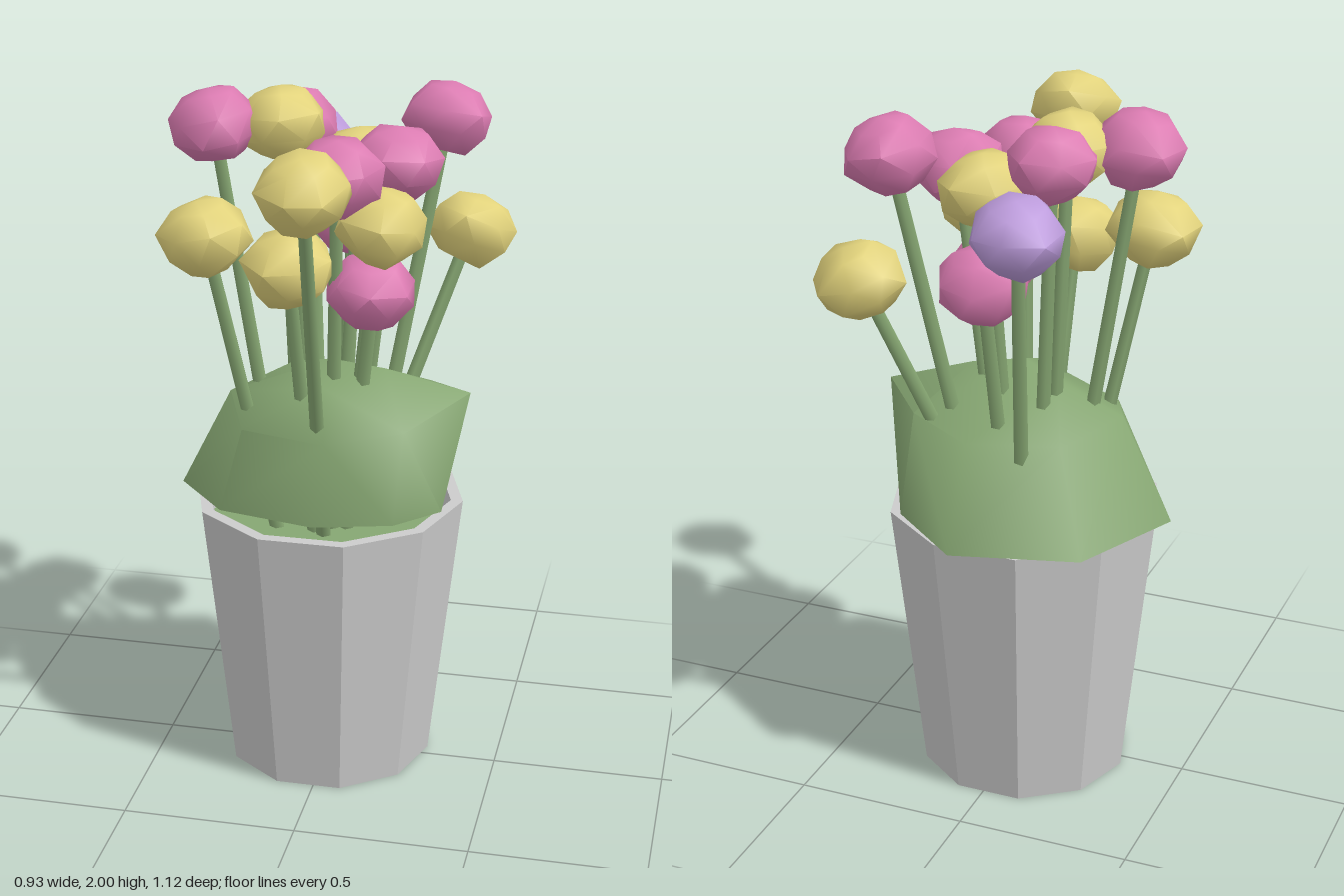
import * as THREE from 'three';
import { toCreasedNormals } from 'three/addons/utils/BufferGeometryUtils.js';
import { ConvexGeometry } from 'three/addons/geometries/ConvexGeometry.js';

const material = (color, options = {}) => new THREE.MeshStandardMaterial({ color, ...options });
const green = material(0x86a672, { side: THREE.DoubleSide });
const pink = material(0xdc7cb2);
const yellow = material(0xe2d37c);
const purple = material(0xbd9cdc);
const grey = material(0xcccccc, { flatShading: true, side: THREE.DoubleSide });

const CENTRE = new THREE.Vector3(-0.015, 0, -0.04);
const UP = new THREE.Vector3(0, 1, 0);

function part(name, geometry, mat) {
  const mesh = new THREE.Mesh(geometry, mat);
  mesh.name = name;
  return mesh;
}

// Small seeded generator, returns -1..1
function seeded(seed) {
  let s = seed * 7919 + 17;
  return () => {
    s = (s * 16807) % 2147483647;
    return (s / 2147483647) * 2 - 1;
  };
}

// Smooth faceted lump wrapped around a few points
const lump = (points, crease) => toCreasedNormals(new ConvexGeometry(points), crease);

// Bud: slightly irregular rings, flat below and rounded above
function budGeometry(seed) {
  const rnd = seeded(seed);
  const rings = [[0.07, -0.092], [0.122, -0.035], [0.126, 0.03], [0.075, 0.085]];
  const points = [new THREE.Vector3(0, 0.102, 0)];
  const sides = 7;
  rings.forEach(([r, y], k) => {
    for (let i = 0; i < sides; i++) {
      const a = ((i + (k > 1 ? 0.5 : 0)) / sides) * Math.PI * 2 + seed + rnd() * 0.1;
      const radius = r * (1 + rnd() * 0.06);
      points.push(new THREE.Vector3(Math.sin(a) * radius, y + rnd() * 0.008, Math.cos(a) * radius));
    }
  });
  return lump(points, 1.0);
}

// Flower: bud centre, colour, and how far the stem foot spreads from the middle
function flower([x, y, z, mat, spread = 0.2], index) {
  const group = new THREE.Group();
  group.name = 'flower';
  const head = new THREE.Vector3(x, y, z);
  const foot = head.clone().sub(CENTRE).multiplyScalar(spread).add(CENTRE).setY(0.5);
  const axis = head.clone().sub(foot);
  const length = axis.length();
  const tilt = new THREE.Quaternion().setFromUnitVectors(UP, axis.normalize());

  const stem = part('stem', new THREE.CylinderGeometry(0.019, 0.023, length, 5), green);
  stem.position.copy(foot).lerp(head, 0.5);
  stem.quaternion.copy(tilt);

  const bud = part('bud', budGeometry(index + 1), mat);
  bud.position.copy(head);
  bud.quaternion.copy(tilt);
  group.add(stem, bud);
  return group;
}

export function createModel() {
  const model = new THREE.Group();
  model.name = 'flowerPot';

  // Ten-sided pot with a recessed base and a thin rim
  const profile = [[0, 0.12], [0.28, 0.12], [0.305, 0], [0.395, 0.825], [0.36, 0.825], [0.33, 0.6]]
    .map(([r, y]) => new THREE.Vector2(r, y));
  const pot = part('pot', new THREE.LatheGeometry(profile, 10, Math.PI / 2), grey);
  pot.position.copy(CENTRE);

  // Green layer inside the pot
  const filling = part('potFilling', new THREE.CircleGeometry(0.348, 10).rotateX(-Math.PI / 2), green);
  filling.position.copy(CENTRE).setY(0.73);

  // Leafy mound: lower edge, shoulder, crown
  const mound = [
    [-0.45, 0.82, -0.02], [-0.31, 0.83, -0.37], [0.05, 0.82, -0.45], [0.26, 0.84, -0.3],
    [0.34, 0.85, 0.1], [0.22, 0.84, 0.2], [0, 0.84, 0.26], [-0.28, 0.84, 0.2],
    [0.39, 1.15, -0.07], [0.24, 1.1, 0.15], [0.03, 1.08, 0.235], [-0.22, 1.08, 0.17],
    [-0.3, 1.12, -0.02], [-0.2, 1.1, -0.25], [0.06, 1.09, -0.3], [0.25, 1.12, -0.22],
    [0.15, 1.22, -0.03], [0, 1.245, -0.01], [-0.12, 1.21, -0.06], [0, 1.2, 0.11],
  ].map((p) => new THREE.Vector3(...p));
  const foliage = part('foliage', lump(mound, 0.95), green);

  const flowers = [
    [-0.15, 1.76, -0.43, purple, 0.3],
    [0, 1.57, -0.31, pink],
    [0.34, 1.55, -0.35, yellow, 0],
    [0.275, 1.89, -0.285, pink],
    [0.05, 1.78, -0.16, yellow],
    [-0.145, 1.88, -0.175, pink, 0.4],
    [-0.16, 1.9, -0.1, yellow, 0.5],
    [-0.335, 1.9, -0.03, pink, 0.3],
    [-0.325, 1.63, 0.13, yellow, 0.3],
    [-0.08, 1.57, 0.175, yellow],
    [0.02, 1.86, 0.43, yellow, 0.06],
    [0.17, 1.81, -0.07, pink],
    [0.04, 1.81, 0.1, pink],
    [0.155, 1.67, 0.07, yellow],
    [0.12, 1.475, 0.04, pink],
  ];

  model.add(pot, filling, foliage, ...flowers.map(flower));
  return model;
}
